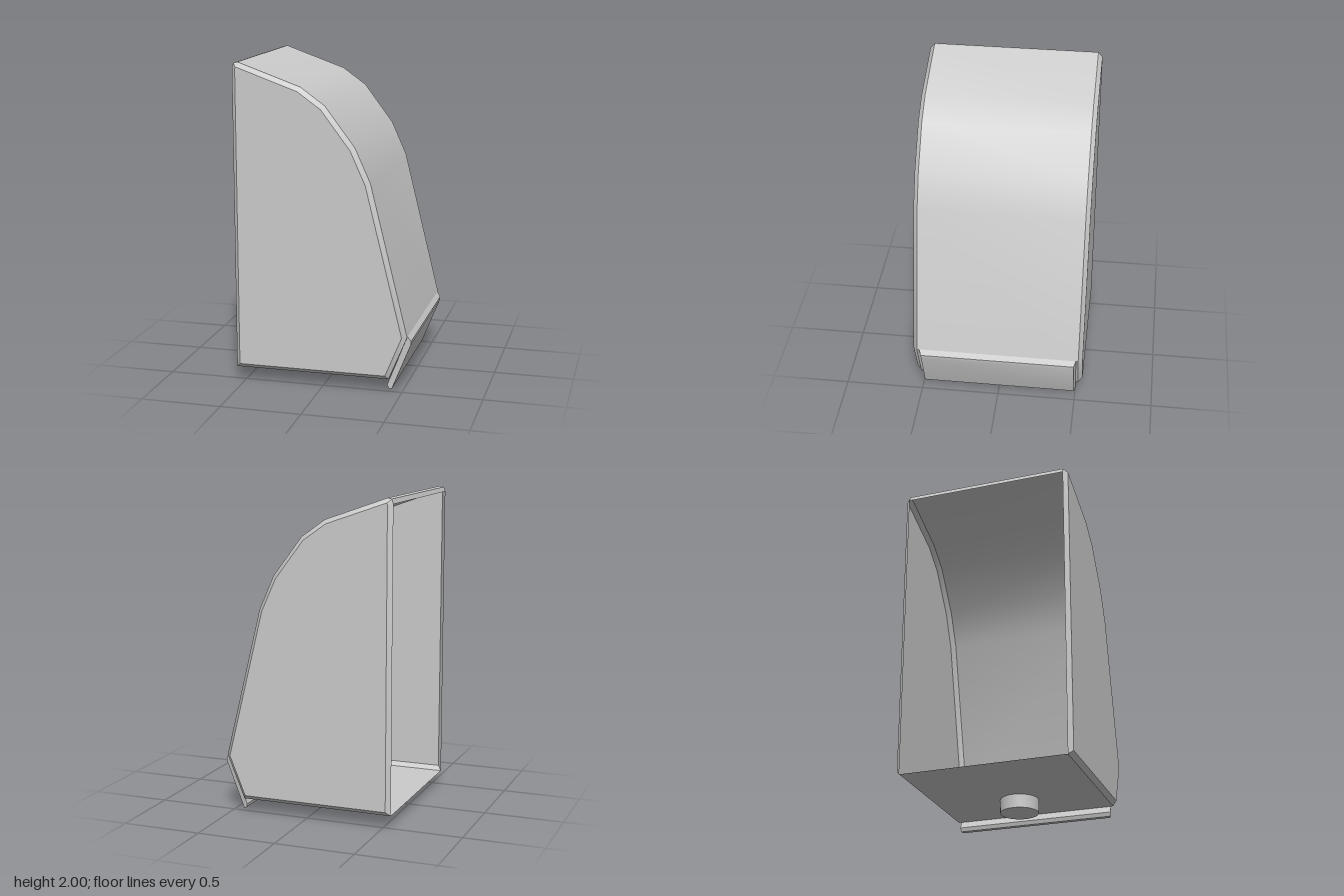
import * as THREE from 'three';
import { toCreasedNormals } from 'three/addons/utils/BufferGeometryUtils.js';

// Skin between closed convex rings (front to back, counter-clockwise), with both ends capped.
// openEdge names one profile edge left open between the rings openFrom and openFrom + 1.
function loft(rings, crease, openEdge = -1, openFrom = -1) {
  const pos = [];
  const tri = (a, b, c) => pos.push(...a, ...b, ...c);
  const n = rings[0].length;
  for (let r = 0; r < rings.length - 1; r++) {
    for (let i = 0; i < n; i++) {
      if (r === openFrom && i === openEdge) continue;
      const j = (i + 1) % n, p = rings[r], q = rings[r + 1];
      tri(p[i], q[i], p[j]);
      tri(p[j], q[i], q[j]);
    }
  }
  const first = rings[0], last = rings[rings.length - 1];
  for (let i = 1; i < n - 1; i++) {
    tri(first[0], first[i], first[i + 1]);
    tri(last[0], last[i + 1], last[i]);
  }
  const geo = new THREE.BufferGeometry();
  geo.setAttribute('position', new THREE.Float32BufferAttribute(pos, 3));
  return toCreasedNormals(geo, crease);
}

// Mitred inward offset of a counter-clockwise outline
function inset(points, d) {
  const n = points.length;
  const normal = (a, b) => {
    const l = Math.hypot(b[0] - a[0], b[1] - a[1]);
    return [-(b[1] - a[1]) / l, (b[0] - a[0]) / l];
  };
  return points.map((p, i) => {
    const u = normal(points[(i + n - 1) % n], p);
    const v = normal(p, points[(i + 1) % n]);
    const k = d / (1 + u[0] * v[0] + u[1] * v[1]);
    return [p[0] + (u[0] + v[0]) * k, p[1] + (u[1] + v[1]) * k];
  });
}

const atZ = (points, z) => points.map(([x, y]) => [x, y, z]);

export function createModel() {
  const group = new THREE.Group();
  const solid = new THREE.MeshStandardMaterial({ color: 0xcccccc });
  const thin = new THREE.MeshStandardMaterial({ color: 0xcccccc, side: THREE.DoubleSide });
  const add = (name, geo, mat) => {
    const mesh = new THREE.Mesh(geo, mat);
    mesh.name = name;
    group.add(mesh);
    return mesh;
  };

  // Hollow cover with chamfered sides, open along its flat back edge
  const outline = [
    [-0.555, 0.085], [0.42, 0.085], [0.532, 0.36], [0.30, 1.30], [0.205, 1.51],
    [0.02, 1.755], [-0.13, 1.862], [-0.52, 2.0], [-0.545, 1.994], [-0.555, 1.965],
  ];
  const side = inset(outline, 0.027);
  add('cover', loft([
    atZ(side, 0.545), atZ(outline, 0.518), atZ(outline, -0.518), atZ(side, -0.545),
  ], 0.5, outline.length - 1, 1), thin);

  // Slanted push plate, its outer face slightly narrower than its inner face
  const plate = [
    [0.408, 0.045], [0.415, 0.02], [0.435, 0.016], [0.55, 0.305], [0.553, 0.33], [0.532, 0.362],
  ];
  const halfWidth = [0.503, 0.5, 0.493, 0.49, 0.492, 0.503];
  const plateRing = (s) => plate.map(([x, y], i) => [x, y, s * halfWidth[i]]);
  add('pushPlate', loft([plateRing(1), plateRing(-1)], 0.6), solid);

  // Round outlet below the floor
  add('outlet', new THREE.CylinderGeometry(0.12, 0.12, 0.09, 32), solid).position.set(0.12, 0.045, 0);

  return group;
}
